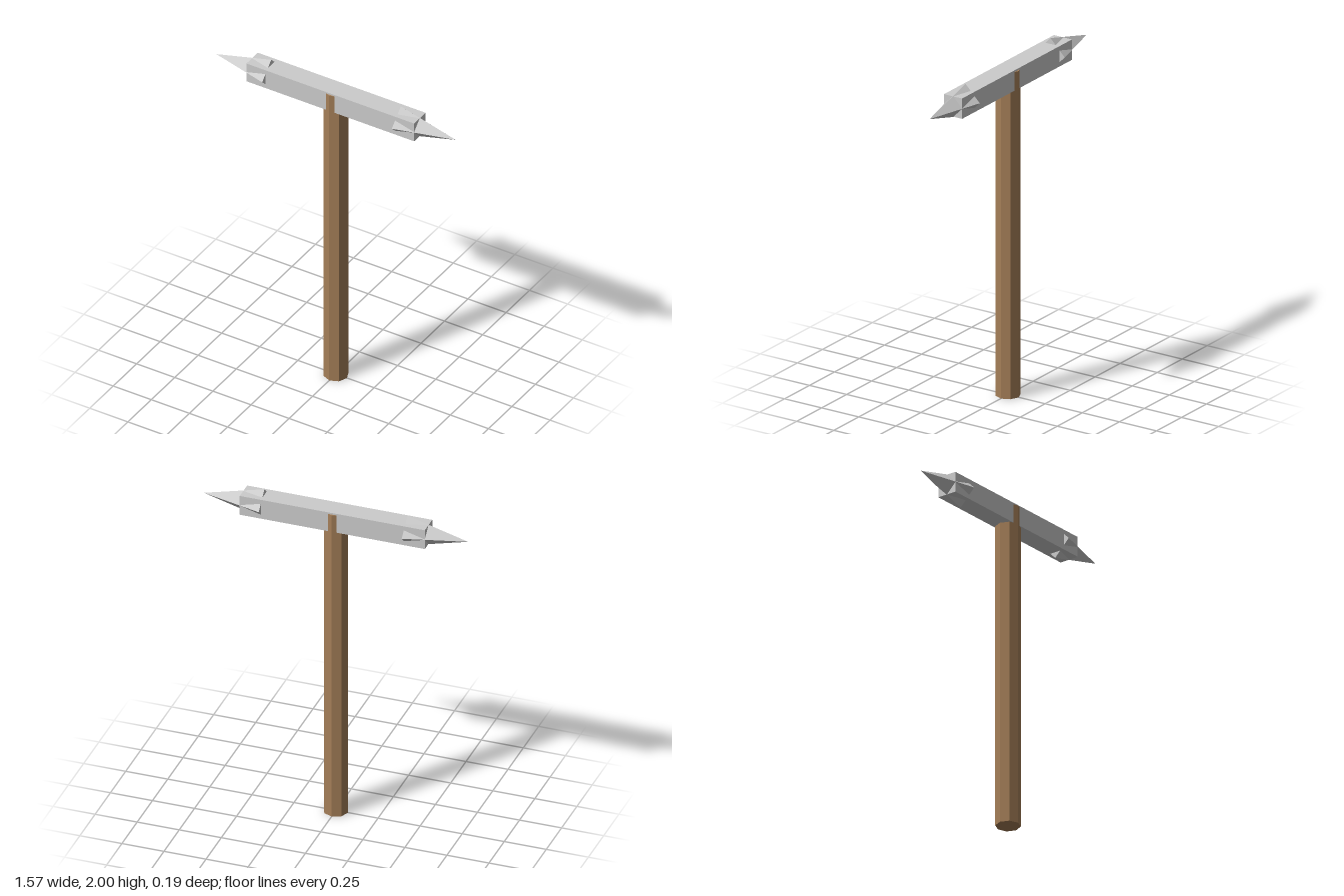
import * as THREE from 'three';

export function createModel() {
  const group = new THREE.Group();
  const wood = new THREE.MeshStandardMaterial({ color: 0xa57f58, flatShading: true });
  const metal = new THREE.MeshStandardMaterial({ color: 0xcccccc, flatShading: true });
  const headY = 1.904;

  const add = (name, geometry, material, x, y) => {
    const mesh = new THREE.Mesh(geometry, material);
    mesh.name = name;
    mesh.position.set(x, y, 0);
    group.add(mesh);
    return mesh;
  };

  // Octagonal handle, its corners breaking through the sides of the head
  const handleHeight = 1.955;
  add('handle', new THREE.CylinderGeometry(0.072, 0.072, handleHeight, 8), wood, 0, handleHeight / 2);

  // Square bar across the top
  add('headBar', new THREE.BoxGeometry(1.1, 0.122, 0.122), metal, 0, headY);

  // Four-sided spikes, turned so their corners stand out from the bar's faces
  const baseX = 0.425, tipX = 0.786;
  for (const side of [1, -1]) {
    const spike = add(side > 0 ? 'leftSpike' : 'rightSpike',
      new THREE.ConeGeometry(0.096, tipX - baseX, 4), metal, side * (baseX + tipX) / 2, headY);
    spike.rotation.z = -side * Math.PI / 2;
  }

  return group;
}
